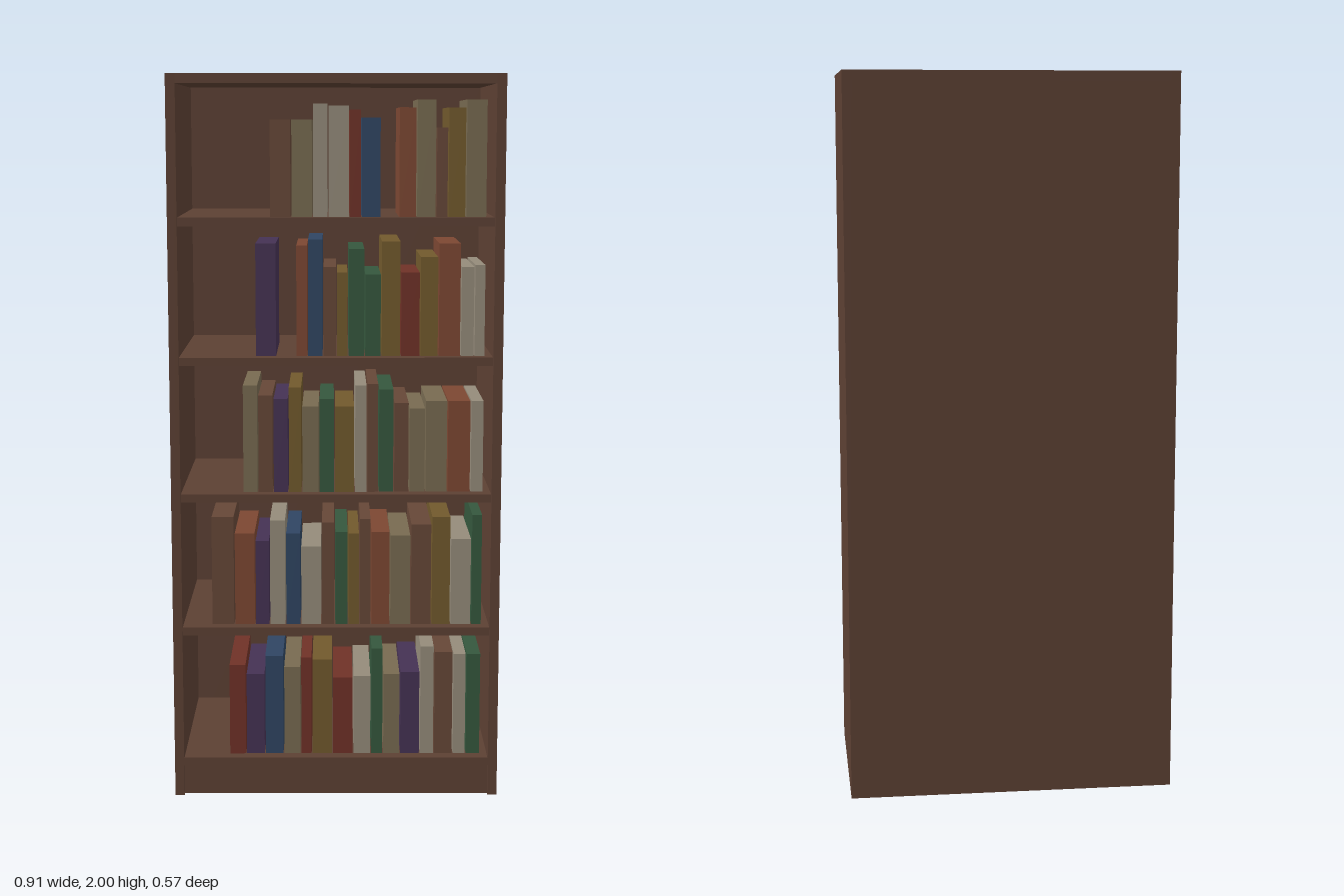
import * as THREE from 'three';

const palette = {
  wood: 0x5c4033, brown: 0x664737, cream: 0x948b7a, tan: 0x776a50, gold: 0x71592c,
  rust: 0x7c4732, red: 0x6f3127, purple: 0x453253, blue: 0x2f4562, green: 0x35573d,
};

// Books per shelf, left to right: colour, width, height in thousandths (gap = empty space)
const bottomRow = [
  ['red', 48, 260], ['purple', 53, 233], ['blue', 53, 286], ['tan', 48, 254], ['red', 32, 281],
  ['gold', 58, 276], ['red', 58, 223], ['cream', 50, 228], ['green', 34, 307], ['tan', 48, 233],
  ['purple', 56, 239], ['cream', 40, 313], ['brown', 53, 297], ['cream', 37, 292], ['green', 41, 292],
];
const secondRow = [
  ['brown', 64, 307], ['rust', 58, 260], ['purple', 40, 239], ['cream', 45, 297], ['blue', 42, 260],
  ['cream', 58, 223], ['brown', 37, 292], ['green', 37, 265], ['gold', 32, 260], ['brown', 32, 302],
  ['rust', 53, 265], ['tan', 58, 254], ['brown', 58, 286], ['gold', 53, 307], ['cream', 58, 244],
  ['green', 30, 313],
];
const middleRow = [
  ['tan', 42, 297], ['brown', 42, 270], ['purple', 42, 260], ['gold', 37, 292], ['tan', 48, 239],
  ['green', 42, 260], ['gold', 56, 239], ['cream', 34, 297], ['brown', 32, 302], ['green', 42, 286],
  ['brown', 42, 249], ['tan', 45, 233], ['tan', 61, 254], ['rust', 64, 254], ['cream', 36, 254],
];
const fourthRow = [
  ['purple', 58, 307], ['gap', 53, 0], ['rust', 32, 302], ['blue', 42, 318], ['brown', 37, 244],
  ['gold', 32, 228], ['green', 45, 292], ['green', 45, 223], ['gold', 53, 313], ['red', 53, 228],
  ['gold', 50, 270], ['rust', 61, 307], ['cream', 37, 244], ['cream', 30, 249],
];
const topRow = [
  ['brown', 58, 260], ['tan', 58, 260], ['cream', 42, 302], ['cream', 58, 297], ['red', 32, 286],
  ['blue', 53, 265], ['gap', 48, 0], ['rust', 48, 292], ['tan', 53, 313], ['brown', 32, 239],
  ['gold', 48, 292], ['tan', 57, 313],
];

export function createModel() {
  const materials = {};
  for (const [name, color] of Object.entries(palette)) {
    materials[name] = new THREE.MeshStandardMaterial({ color });
    materials[name].name = name;
  }

  // Box given by its lower and upper limits on each axis
  function box(parent, name, material, [x0, x1], [y0, y1], [z0, z1]) {
    const mesh = new THREE.Mesh(new THREE.BoxGeometry(x1 - x0, y1 - y0, z1 - z0), materials[material]);
    mesh.position.set((x0 + x1) / 2, (y0 + y1) / 2, (z0 + z1) / 2);
    mesh.name = name;
    parent.add(mesh);
  }

  const model = new THREE.Group();
  model.name = 'bookcase';
  const W = 0.453, D = 0.283, T = 0.026;
  const inner = [T - W, W - T];
  const backFace = 0.012 - D;

  // Carcass
  box(model, 'rightPanel', 'wood', [-W, T - W], [0, 2], [-D, D]);
  box(model, 'leftPanel', 'wood', [W - T, W], [0, 2], [-D, D]);
  box(model, 'topPanel', 'wood', inner, [2 - T, 2], [-D, D]);
  box(model, 'backPanel', 'wood', inner, [0, 2 - T], [-D, backFace]);
  box(model, 'kickBoard', 'wood', inner, [0, 0.083], [0.247, 0.27]);

  // Shelves, each with a row of books pushed against the left panel
  const rows = [bottomRow, secondRow, middleRow, fourthRow, topRow];
  rows.forEach((row, i) => {
    const y = 0.106 + i * 0.3785;
    box(model, 'shelf', 'wood', inner, [y - 0.023, y], [backFace, 0.273]);

    const books = new THREE.Group();
    books.name = 'bookRow';
    model.add(books);
    let x = 0.409 - row.reduce((sum, book) => sum + book[1], 0) / 1000;
    for (const [color, width, height] of row) {
      const next = x + width / 1000;
      if (color !== 'gap') {
        box(books, 'book', color, [x, next - 0.003], [y, y + height / 1000], [-0.07, 0.237]);
      }
      x = next;
    }
  });
  return model;
}
